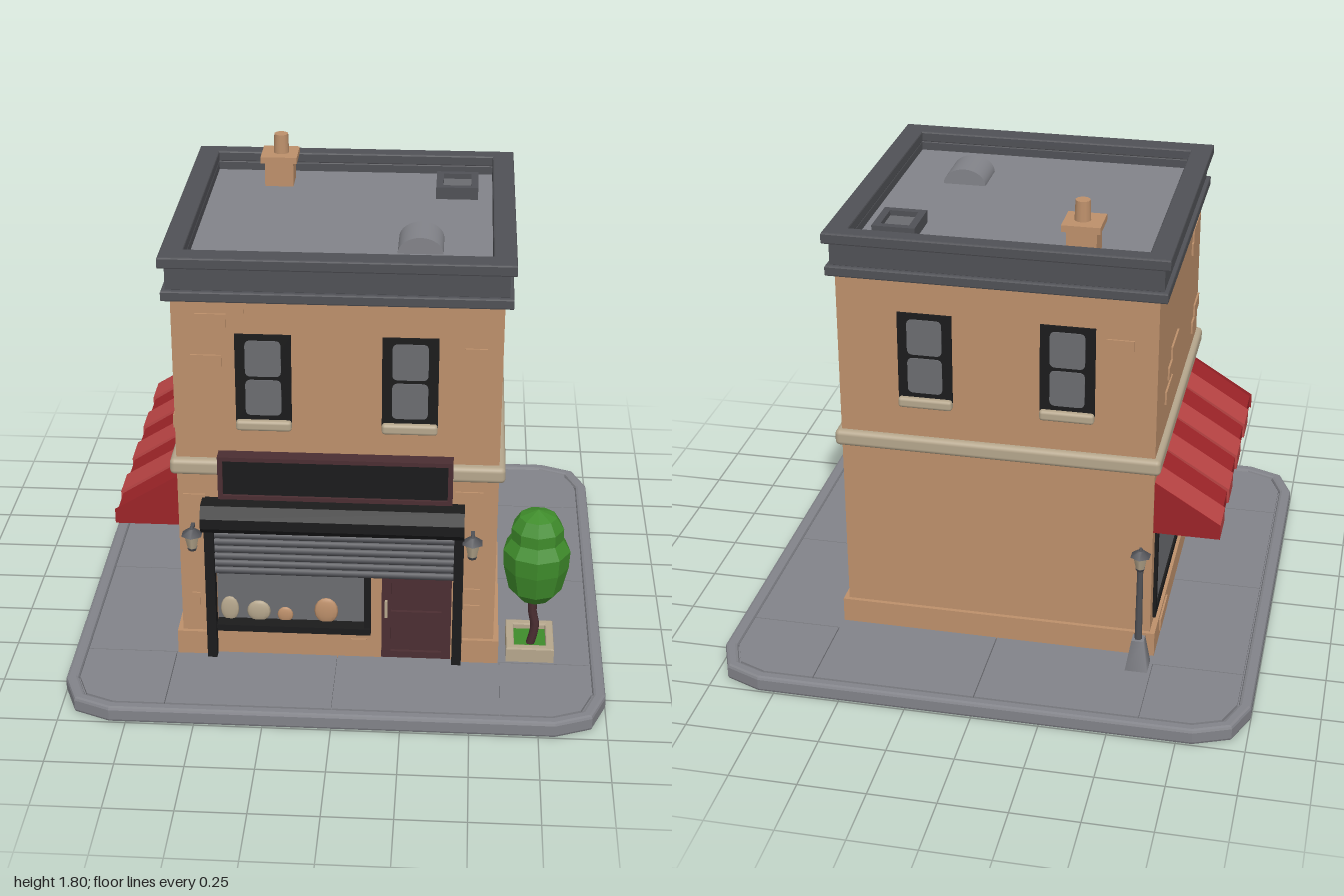
import * as THREE from 'three';
import { RoundedBoxGeometry } from 'three/addons/geometries/RoundedBoxGeometry.js';

const mat = (name, color, flatShading = false) => {
  const m = new THREE.MeshStandardMaterial({ color, flatShading });
  m.name = name;
  return m;
};

export function createModel() {
  const M = {
    wall: mat('tan plaster', 0xbd906b), cream: mat('cream stone', 0xb5a68c),
    slate: mat('slate grey', 0x505156), paving: mat('paving grey', 0x828389),
    black: mat('black trim', 0x1b1b1c), red: mat('dark red', 0x9c2428),
    rose: mat('light red', 0xb94444), maroon: mat('maroon wood', 0x4b2e32),
    green: mat('leaf green', 0x3f8c2b, true), glass: mat('glass grey', 0x6b6c70),
  };
  M.rose.side = M.red.side = THREE.DoubleSide;
  const root = new THREE.Group();
  root.name = 'cornerShop';

  const add = (name, geo, m, x = 0, y = 0, z = 0, parent = root) => {
    const mesh = new THREE.Mesh(geo, m);
    mesh.name = name;
    mesh.position.set(x, y, z);
    parent.add(mesh);
    return mesh;
  };
  const box = (name, m, x0, x1, y0, y1, z0, z1, parent = root) =>
    add(name, new THREE.BoxGeometry(x1 - x0, y1 - y0, z1 - z0), m,
      (x0 + x1) / 2, (y0 + y1) / 2, (z0 + z1) / 2, parent);
  const group = (name, x = 0, y = 0, z = 0) => {
    const g = new THREE.Group();
    g.name = name;
    g.position.set(x, y, z);
    root.add(g);
    return g;
  };
  const poly = pts => new THREE.Shape(pts.map(p => new THREE.Vector2(...p)));
  const rect = (x0, x1, y0, y1) => poly([[x0, y0], [x1, y0], [x1, y1], [x0, y1]]);
  // Extrude a plan shape upwards (shape y becomes -z)
  const slab = (name, shape, m, y, depth, bevel = 0) => {
    const g = new THREE.ExtrudeGeometry(shape, {
      depth: depth - 2 * bevel, bevelEnabled: bevel > 0, bevelSize: bevel,
      bevelThickness: bevel, bevelOffset: -bevel, bevelSegments: 2 });
    g.rotateX(-Math.PI / 2);
    return add(name, g, m, 0, y + bevel, 0);
  };

  // Pavement: kerbed plate with slabs
  const outline = (s, a, b) => [[s, -a], [s, a], [b, b], [a, s], [-a, s], [-b, b],
    [-s, a], [-s, -a], [-b, -b], [-a, -s], [a, -s], [b, -b]];
  slab('pavementPlate', poly(outline(0.99, 0.8, 0.935)), M.paving, 0, 0.045);
  const kerb = poly(outline(1, 0.81, 0.945));
  kerb.holes.push(poly(outline(0.953, 0.8, 0.91).reverse()));
  slab('kerb', kerb, M.paving, 0, 0.063, 0.012);
  for (const sx of [-1, 1]) for (const sz of [-1, 1]) {
    const put = pts => slab('pavingSlab',
      poly(pts.map(([x, z]) => [x * sx, z * sz])), M.paving, 0.04, 0.018);
    put([[0.612, 0.612], [0.948, 0.612], [0.948, 0.8], [0.905, 0.905], [0.8, 0.948], [0.612, 0.948]]);
    put([[0.002, 0.5], [0.608, 0.5], [0.608, 0.948], [0.002, 0.948]]);
    put([[0.5, 0.002], [0.948, 0.002], [0.948, 0.608], [0.5, 0.608]]);
  }

  // Walls, with the shop window and doorway cut from the front
  box('walls', M.wall, -0.585, 0.585, 0.05, 1.6, -0.54, 0.56);
  const front = rect(-0.585, 0.585, 0.05, 1.6);
  front.holes.push(rect(-0.455, 0.12, 0.17, 0.56), rect(0.165, 0.425, 0.055, 0.43));
  add('frontWall', new THREE.ExtrudeGeometry(front, { depth: 0.04, bevelEnabled: false }), M.wall, 0, 0, 0.56);
  box('plinth', M.wall, -0.605, 0.605, 0.05, 0.155, -0.555, 0.56);
  box('plinthCorner', M.wall, -0.605, -0.49, 0.05, 0.155, 0.55, 0.615);
  box('plinthCorner', M.wall, 0.467, 0.605, 0.05, 0.155, 0.55, 0.615);
  add('stringCourse', new RoundedBoxGeometry(1.215, 0.062, 1.195, 3, 0.018), M.cream, 0, 0.86, 0.0325);

  // Cornice rings around a sunken flat roof
  for (const [o, y, h] of [[0.015, 1.51, 0.04], [0, 1.545, 0.095], [0.022, 1.635, 0.043]]) {
    const ring = rect(-0.6 - o, 0.6 + o, -0.61 - o, 0.55 + o);
    ring.holes.push(rect(-0.54, 0.54, -0.545, 0.505));
    slab('cornice', ring, M.slate, y, h, 0.006);
  }
  box('roof', M.paving, -0.55, 0.55, 1.57, 1.603, -0.515, 0.555);

  // Chimney
  box('chimneyStack', M.wall, -0.34, -0.23, 1.6, 1.7, -0.43, -0.32);
  box('chimneyCap', M.wall, -0.355, -0.215, 1.7, 1.725, -0.445, -0.305);
  add('chimneyPot', new THREE.CylinderGeometry(0.027, 0.03, 0.08, 12), M.wall, -0.28, 1.76, -0.375);

  // Roof vent and skylight
  const vent = add('roofVent', new THREE.CylinderGeometry(0.082, 0.082, 0.165, 16, 1, false, 0, Math.PI),
    M.paving, 0.2825, 1.603, 0.2725);
  vent.geometry.rotateZ(Math.PI / 2).rotateY(Math.PI / 2).scale(1, 0.75, 1);
  const sky = rect(0.325, 0.485, 0.215, 0.4);
  sky.holes.push(rect(0.352, 0.458, 0.242, 0.373));
  slab('skylightFrame', sky, M.slate, 1.6, 0.05);
  box('skylightGlass', M.glass, 0.35, 0.46, 1.6, 1.63, -0.375, -0.24);

  // Upper windows, front and back
  const pane = new THREE.Shape();
  const w = 0.064, h = 0.069, c = 0.022;
  pane.moveTo(-w + c, -h).lineTo(w - c, -h).quadraticCurveTo(w, -h, w, -h + c)
    .lineTo(w, h - c).quadraticCurveTo(w, h, w - c, h).lineTo(-w + c, h)
    .quadraticCurveTo(-w, h, -w, h - c).lineTo(-w, -h + c).quadraticCurveTo(-w, -h, -w + c, -h);
  for (const back of [false, true]) for (const x of [-0.262, 0.26]) {
    const g = group('upperWindow', x, 0, back ? -0.54 : 0.6);
    if (back) g.rotation.y = Math.PI;
    box('windowFrame', M.black, -0.1, 0.1, 1.04, 1.385, -0.02, 0.008, g);
    for (const y of [1.142, 1.294])
      add('windowPane', new THREE.ExtrudeGeometry(pane, { depth: 0.004, bevelEnabled: false }), M.glass, 0, y, 0.008, g);
    add('windowSill', new RoundedBoxGeometry(0.2, 0.04, 0.045, 2, 0.012), M.cream, 0, 1.034, 0.005, g);
  }

  // Exposed bricks: front [x, y, w, h], left side [z, y, w, h], back [x, y, w, h]
  const brick = 0.007;
  for (const [x, y, bw, bh] of [[-0.41, 1.485, 0.165, 0.042], [-0.445, 1.435, 0.11, 0.05],
    [-0.465, 1.275, 0.11, 0.052], [0.335, 1.485, 0.11, 0.045], [0.49, 1.325, 0.08, 0.05],
    [-0.53, 0.29, 0.03, 0.06], [0.5, 0.35, 0.06, 0.045], [0.5, 0.28, 0.06, 0.045],
    [0.48, 0.765, 0.1, 0.03], [-0.525, 0.71, 0.08, 0.06], [0.055, 0.11, 0.11, 0.055], [0.0, 0.15, 0.1, 0.025]])
    box('frontBrick', M.wall, x - bw / 2, x + bw / 2, y - bh / 2, y + bh / 2, 0.595, 0.6 + brick);
  for (const [z, y, bw, bh] of [[0.44, 1.4, 0.18, 0.05], [0.38, 1.35, 0.1, 0.05], [0.53, 1.03, 0.13, 0.05],
    [0.47, 0.98, 0.12, 0.05], [-0.11, 1.15, 0.17, 0.05], [-0.2, 1.1, 0.14, 0.05], [-0.25, 1.03, 0.16, 0.05]])
    box('sideBrick', M.wall, -0.585 - brick, -0.58, y - bh / 2, y + bh / 2, z - bw / 2, z + bw / 2);
  box('backBrick', M.wall, -0.5, -0.4, 1.3, 1.35, -0.54 - brick, -0.535);
  box('plinthBrick', M.wall, -0.605 - brick, -0.6, 0.09, 0.14, -0.43, -0.25);

  // Shop window with goods behind the frame
  box('shopGlass', M.glass, -0.455, 0.12, 0.17, 0.56, 0.558, 0.564);
  box('shopWindowSill', M.black, -0.465, 0.125, 0.163, 0.19, 0.56, 0.618);
  box('shopWindowPost', M.black, 0.1, 0.125, 0.163, 0.42, 0.56, 0.61);
  for (const [x, r, top, m] of [[-0.41, 0.035, 0.285, M.cream], [-0.3, 0.045, 0.27, M.cream],
    [-0.2, 0.03, 0.245, M.wall], [-0.045, 0.045, 0.29, M.wall]]) {
    const s = add('displayGoods', new THREE.SphereGeometry(r, 12, 8), m, x, (top + 0.18) / 2, 0.566);
    s.scale.set(1, (top - 0.18) / 2 / r, 0.3);
  }

  // Panelled door
  box('door', M.maroon, 0.165, 0.425, 0.055, 0.41, 0.56, 0.585);
  for (const x of [[0.165, 0.2], [0.39, 0.425]]) box('doorStile', M.maroon, ...x, 0.055, 0.41, 0.58, 0.598);
  for (const y of [[0.055, 0.085], [0.235, 0.26], [0.385, 0.41]])
    box('doorRail', M.maroon, 0.2, 0.39, ...y, 0.58, 0.598);
  box('doorHandle', M.cream, 0.177, 0.187, 0.24, 0.31, 0.598, 0.612);

  // Roller shutter, its posts and housing
  for (const x of [-0.472, 0.448]) box('shutterPost', M.black, x - 0.018, x + 0.018, 0.055, 0.64, 0.59, 0.638);
  box('shutterBacking', M.slate, -0.455, 0.43, 0.415, 0.63, 0.598, 0.61);
  for (let i = 0; i < 7; i++) {
    const s = add('shutterSlat', new THREE.CylinderGeometry(0.016, 0.016, 0.885, 8), M.slate, -0.0125, 0.428 + i * 0.03, 0.61);
    s.rotation.z = Math.PI / 2;
  }
  const housing = add('shutterHousing', new THREE.ExtrudeGeometry(
    poly([[0, 0.62], [0.075, 0.62], [0.095, 0.645], [0.095, 0.685], [0.07, 0.728], [0, 0.728]]),
    { depth: 0.96, bevelEnabled: false }), M.black, 0.465, 0, 0.6);
  housing.rotation.y = -Math.PI / 2;

  // Blank sign board
  box('signBoard', M.black, -0.42, 0.41, 0.76, 0.91, 0.595, 0.645);
  for (const y of [0.75, 0.905]) box('signFrame', M.maroon, -0.43, 0.42, y, y + 0.016, 0.595, 0.656);
  for (const x of [-0.43, 0.402]) box('signFrame', M.maroon, x, x + 0.018, 0.75, 0.921, 0.595, 0.656);

  // Side window under the awning
  box('sideGlass', M.glass, -0.59, -0.57, 0.2, 0.74, -0.45, 0.5);
  for (const y of [0.18, 0.73]) box('sideFrame', M.black, -0.597, -0.57, y, y + 0.032, -0.48, 0.52);
  for (const z of [-0.48, 0.488]) box('sideFrame', M.black, -0.597, -0.57, 0.18, 0.76, z, z + 0.032);

  // Striped awning: alternate stripes stand slightly proud
  for (let i = 0; i < 8; i++) {
    const d = i % 2 ? 0 : 0.008;
    const s = poly([[-0.58, 0.6], [-0.58, 0.785 + d], [-0.822 - d, 0.63 + d], [-0.822 - d, 0.58], [-0.812, 0.58], [-0.812, 0.6]]);
    add('awningStripe', new THREE.ExtrudeGeometry(s, { depth: 0.135, bevelEnabled: false }),
      i % 2 ? M.red : M.rose, 0, 0, -0.53 + i * 0.135);
  }
  for (const z of [-0.533, 0.55]) {
    const cheek = poly([[-0.58, 0.58], [-0.58, 0.793], [-0.83, 0.638], [-0.83, 0.58]]);
    add('awningCheek', new THREE.ExtrudeGeometry(cheek, { depth: 0.003, bevelEnabled: false }), M.red, 0, 0, z);
  }

  // Lantern shared by the wall lamps and the street lamp
  const lantern = (g, y, s) => {
    const part = (name, rt, rb, hh, m, yy) => {
      const mesh = add(name, new THREE.CylinderGeometry(rt * s, rb * s, hh * s, 6), m, 0, y + yy * s, 0, g);
      m === M.cream || (mesh.rotation.y = 0);
    };
    part('lanternFoot', 0.02, 0.014, 0.012, M.slate, 0.006);
    part('lanternGlass', 0.03, 0.018, 0.055, M.cream, 0.039);
    part('lanternCap', 0.012, 0.042, 0.024, M.slate, 0.078);
    part('lanternFinial', 0.006, 0.01, 0.012, M.slate, 0.094);
  };
  for (const x of [-0.533, 0.497]) {
    const g = group('wallLamp', x, 0, 0.64);
    lantern(g, 0.525, 1);
    box('lampArm', M.slate, -0.007, 0.007, 0.605, 0.618, -0.045, 0, g);
  }
  const lamp = group('streetLamp', -0.555, 0, -0.63);
  const foot = add('lampBase', new THREE.CylinderGeometry(0.032, 0.06, 0.125, 4), M.paving, 0, 0.117, 0, lamp);
  foot.geometry.rotateY(Math.PI / 4);
  add('lampPole', new THREE.CylinderGeometry(0.011, 0.014, 0.32, 8), M.slate, 0, 0.33, 0, lamp);
  lantern(lamp, 0.473, 0.95);

  // Tree in a stone planter
  const px = 0.725, pz = 0.497;
  const planter = rect(px - 0.09, px + 0.09, -pz - 0.103, -pz + 0.103);
  planter.holes.push(rect(px - 0.06, px + 0.06, -pz - 0.072, -pz + 0.072));
  slab('planter', planter, M.cream, 0.05, 0.067, 0.005);
  box('planterGrass', M.green, px - 0.065, px + 0.065, 0.05, 0.095, pz - 0.076, pz + 0.076);
  const trunk = new THREE.CatmullRomCurve3([[0.725, 0.08], [0.742, 0.17], [0.73, 0.24], [0.738, 0.34]]
    .map(([x, y]) => new THREE.Vector3(x, y, 0.52)));
  add('treeTrunk', new THREE.TubeGeometry(trunk, 10, 0.017, 7), M.maroon);
  const crown = [[0, 0.292], [0.06, 0.3], [0.1, 0.345], [0.122, 0.44], [0.126, 0.51], [0.098, 0.555],
    [0.098, 0.6], [0.07, 0.645], [0, 0.672]].map(p => new THREE.Vector2(...p));
  add('treeCrown', new THREE.LatheGeometry(crown, 9), M.green, 0.736, 0, 0.52);

  return root;
}
